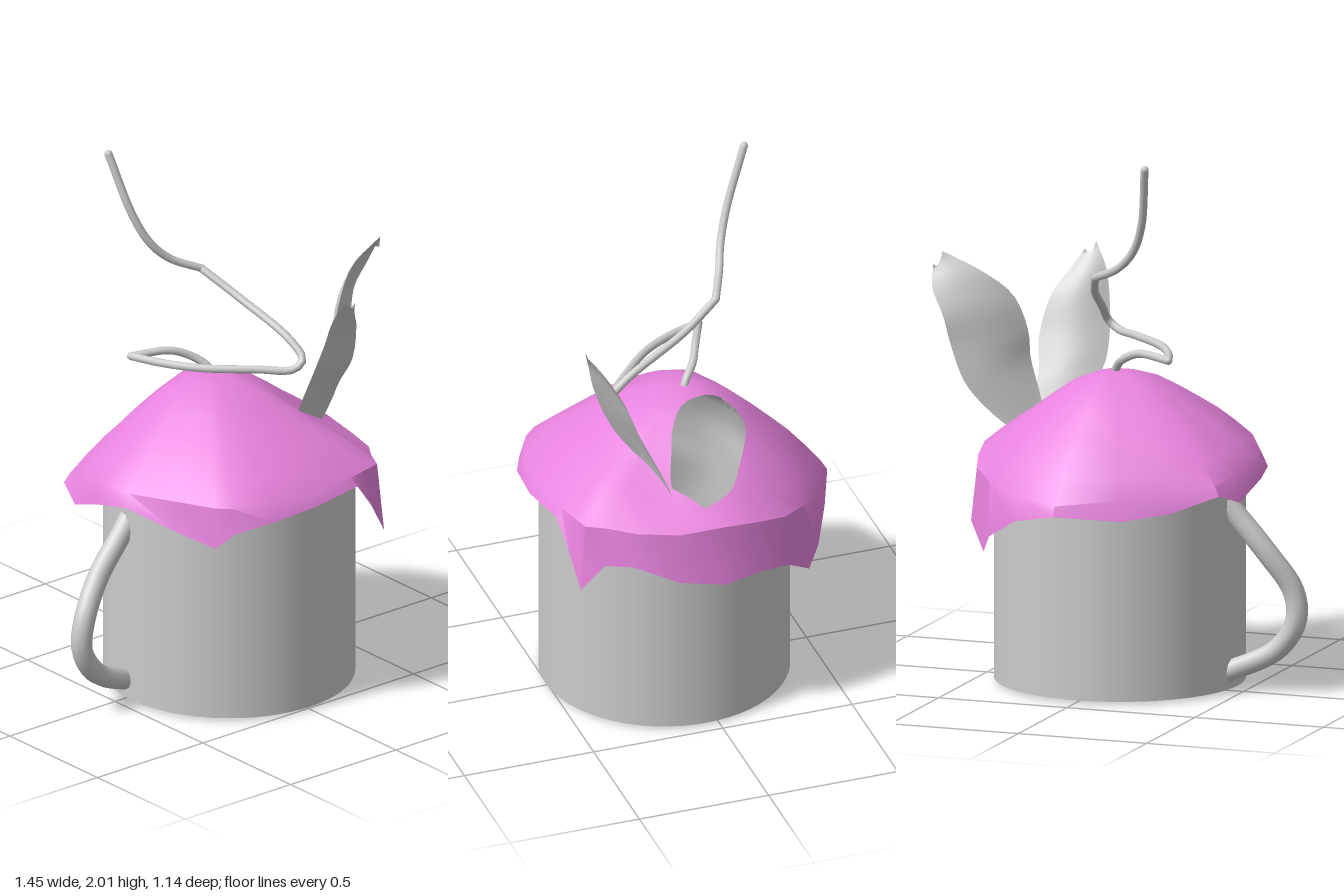
import * as THREE from 'three';
import { toCreasedNormals } from 'three/addons/utils/BufferGeometryUtils.js';
import { ParametricGeometry } from 'three/addons/geometries/ParametricGeometry.js';

const V = (p) => new THREE.Vector3(...p);
const grey = new THREE.MeshStandardMaterial({ color: 0xcccccc });
const thinGrey = new THREE.MeshStandardMaterial({ color: 0xcccccc, side: THREE.DoubleSide });
const pink = new THREE.MeshStandardMaterial({ color: 0xe783de, side: THREE.DoubleSide });

function part(name, geometry, material) {
  const mesh = new THREE.Mesh(geometry, material);
  mesh.name = name;
  return mesh;
}

// Round tube with closed ends along a path of curves or straight bends
function tube(name, strokes, radius, sides) {
  const group = new THREE.Group();
  group.name = name;
  for (const points of strokes) {
    const path = new THREE.CatmullRomCurve3(points.map(V), false, 'centripetal');
    group.add(part(name + 'Stroke', new THREE.TubeGeometry(path, points.length * 5, radius, sides), grey));
    for (const p of [points[0], points[points.length - 1]]) {
      const cap = part(name + 'End', new THREE.SphereGeometry(radius, sides, 6), grey);
      cap.position.set(...p);
      group.add(cap);
    }
  }
  return group;
}

// Leaf blade stretched between two edge curves, bulging along its middle
function leaf(name, left, right, bulge) {
  const a = new THREE.CatmullRomCurve3(left.map(V));
  const b = new THREE.CatmullRomCurve3(right.map(V));
  const geometry = new ParametricGeometry((u, v, target) => {
    const p = a.getPoint(v), q = b.getPoint(v);
    const normal = q.clone().sub(p).cross(a.getTangent(v)).normalize();
    // the tip is notched in the middle
    const notch = v > 0.95 ? -0.03 * Math.sin(u * Math.PI) : 0;
    target.copy(p).lerp(q, u).addScaledVector(normal, bulge * Math.sin(u * Math.PI) * Math.sin(v * Math.PI));
    target.y += notch;
  }, 8, 20);
  return part(name, geometry, thinGrey);
}

// Whipped topping: rings spread from the apex to a ragged, dripping rim
function topping() {
  const rim = [
    [.53, .63, 0], [.51, .66, .17], [.46, .73, .33], [.40, .72, .42], [.36, .61, .50], [.28, .74, .52],
    [.20, .84, .54], [0, .83, .57], [-.20, .81, .55], [-.34, .78, .49], [-.39, .72, .44], [-.46, .76, .30],
    [-.55, .82, .12], [-.57, .80, 0], [-.55, .74, -.17], [-.51, .78, -.28], [-.35, .72, -.37],
    [-.20, .70, -.47], [.03, .72, -.57], [.20, .68, -.50], [.33, .60, -.43], [.37, .53, -.38],
    [.46, .62, -.27], [.50, .64, -.15],
  ];
  const apex = [-.02, 1.17, -.04];
  const rings = [[0, 0], [.16, .04], [.3, .13], [.45, .29], [.6, .47], [.72, .62], [.84, .8], [.96, 1]];
  const positions = [], index = [], n = rim.length;
  for (const [s, drop] of rings) {
    for (const [rx, , rz] of rim) {
      const x = apex[0] + (rx - apex[0]) * s, z = apex[2] + (rz - apex[2]) * s;
      const shoulder = 0.87 + 0.2 * Math.min(0, rz);
      // hollow where the leaves are stuck in
      const dent = 0.05 * Math.exp(-((x - .33) ** 2 + (z - .14) ** 2) / 0.03);
      positions.push(x, apex[1] - (apex[1] - shoulder) * drop - dent, z);
    }
  }
  for (const p of rim) positions.push(...p);
  for (let r = 0; r < rings.length; r++) {
    for (let i = 0; i < n; i++) {
      const j = (i + 1) % n, a = r * n + i, b = r * n + j, c = a + n, d = b + n;
      if (r > 0) index.push(a, b, c);
      index.push(b, d, c);
    }
  }
  const geometry = new THREE.BufferGeometry();
  geometry.setAttribute('position', new THREE.Float32BufferAttribute(positions, 3));
  geometry.setIndex(index);
  return part('topping', toCreasedNormals(geometry, 0.6), pink);
}

export function createModel() {
  const model = new THREE.Group();

  // Mug
  const mug = part('mug', new THREE.CylinderGeometry(.46, .46, .85, 64), grey);
  mug.position.set(0, .435, .05);
  model.add(mug);

  // Handle on the side of the mug
  model.add(tube('handle', [[
    [-.40, .74, -.01], [-.47, .66, 0], [-.59, .52, .01], [-.68, .38, .04],
    [-.69, .27, .04], [-.62, .16, .03], [-.46, .08, 0], [-.33, .04, -.04],
  ]], .04, 10));

  // Topping
  model.add(topping());

  // Bent stem rising out of the topping, with sharp bends between strokes
  model.add(tube('stem', [
    [[0, 1.12, -.02], [-.02, 1.18, -.04], [-.06, 1.22, -.08], [-.14, 1.255, -.12], [-.275, 1.25, -.18]],
    [[-.275, 1.25, -.18], [-.23, 1.25, -.06], [-.15, 1.25, .07], [0, 1.25, .21], [.10, 1.25, .295],
      [.14, 1.28, .30], [.135, 1.34, .23], [.08, 1.45, 0], [.025, 1.53, -.14]],
    [[.025, 1.53, -.14], [-.08, 1.58, -.19], [-.15, 1.65, -.22], [-.20, 1.76, -.26], [-.245, 1.99, -.345]],
  ], .015, 10));

  // Two leaves
  model.add(leaf('frontLeaf',
    [[.29, .94, .15], [.18, 1.04, .23], [.15, 1.12, .29], [.15, 1.22, .34], [.17, 1.36, .39], [.19, 1.45, .41], [.24, 1.54, .44]],
    [[.36, .92, .14], [.38, 1.02, .18], [.38, 1.10, .22], [.40, 1.20, .27], [.37, 1.36, .33], [.32, 1.44, .38], [.28, 1.51, .43]],
    -.03));
  model.add(leaf('sideLeaf',
    [[.32, .92, .13], [.35, 1.02, .15], [.39, 1.15, .16], [.40, 1.25, .16], [.45, 1.38, .14], [.55, 1.47, .09], [.70, 1.54, .07]],
    [[.40, .88, .06], [.50, .97, .02], [.58, 1.07, -.01], [.63, 1.20, -.02], [.66, 1.32, -.03], [.71, 1.42, -.01], [.72, 1.50, .03]],
    -.03));

  return model;
}
